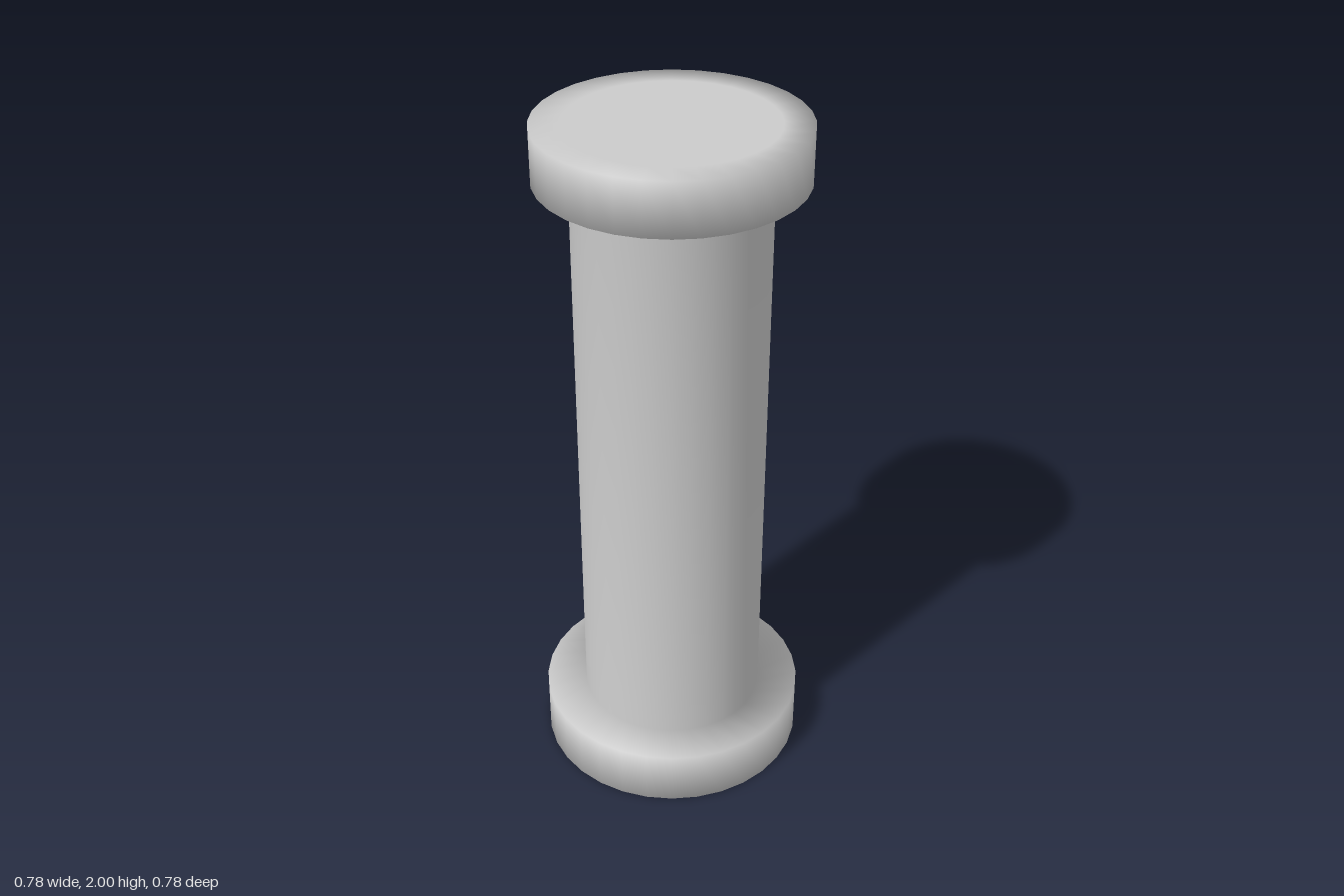
import * as THREE from 'three';

export function createModel() {
  const group = new THREE.Group();
  group.name = 'spool';

  const shaftRadius = 0.27;
  const base = { radius: 0.39, inset: 0.3, top: 0.165 };
  const cap = { radius: 0.367, inset: 0.285, bottom: 1.85, top: 2 };

  // Half-section from the bottom centre to the top centre, smooth over its corners
  const profile = [
    [0, 0], [base.inset, 0], [base.radius, 0], [base.radius, base.top], // base flange
    [shaftRadius, base.top], [shaftRadius, cap.bottom], // shaft
    [cap.radius, cap.bottom], [cap.radius, cap.top], [cap.inset, cap.top], [0, cap.top], // top flange
  ].map(([r, y]) => new THREE.Vector2(r, y));

  const body = new THREE.Mesh(
    new THREE.LatheGeometry(profile, 32),
    new THREE.MeshStandardMaterial({ color: 0xcccccc })
  );
  body.name = 'flangedShaft';
  group.add(body);

  return group;
}
